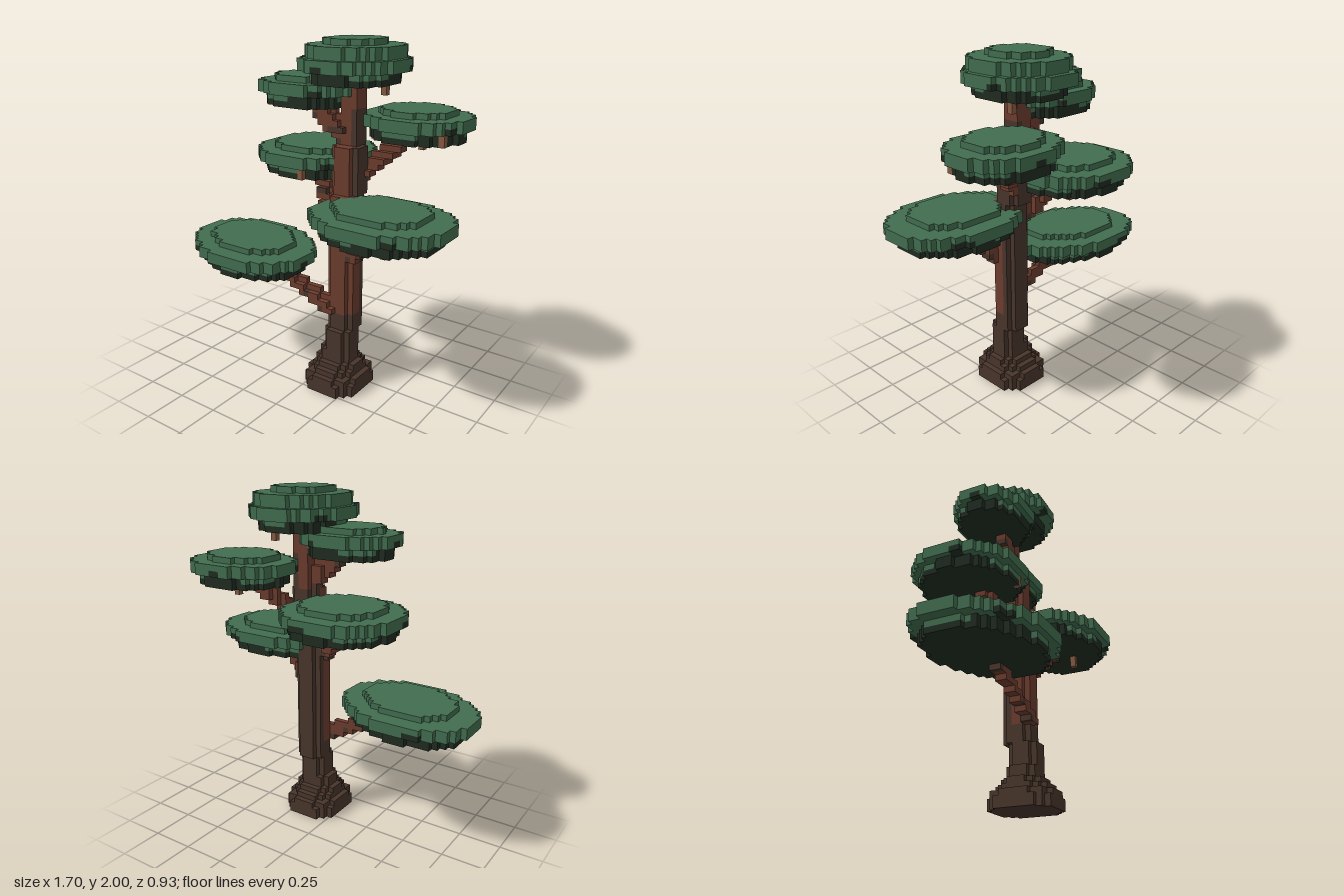
import * as THREE from 'three';

const S = 1 / 30; // cube size
const X0 = -0.85, Z0 = -14 * S; // grid origin

const material = (name, color) => {
  const m = new THREE.MeshStandardMaterial({ color });
  m.name = name;
  return m;
};

// the six faces of a cube: normal and corners, counter-clockwise from outside
const FACES = [
  [[1, 0, 0], [[1, 0, 0], [1, 1, 0], [1, 1, 1], [1, 0, 1]]],
  [[-1, 0, 0], [[0, 0, 1], [0, 1, 1], [0, 1, 0], [0, 0, 0]]],
  [[0, 1, 0], [[0, 1, 0], [0, 1, 1], [1, 1, 1], [1, 1, 0]]],
  [[0, -1, 0], [[0, 0, 0], [1, 0, 0], [1, 0, 1], [0, 0, 1]]],
  [[0, 0, 1], [[0, 0, 1], [1, 0, 1], [1, 1, 1], [0, 1, 1]]],
  [[0, 0, -1], [[1, 0, 0], [0, 0, 0], [0, 1, 0], [1, 1, 0]]],
];

export function createModel() {
  const bark = material('darkBark', 0x48352c);
  const redBark = material('redBark', 0x6c3c2e);
  const podBrown = material('podBrown', 0x845a40);
  const leaf = material('leafGreen', 0x426d50);
  const shade = material('deepGreen', 0x202c21);

  const cells = new Map();
  const key = (i, j, k) => `${i},${j},${k}`;
  const put = (part, mat, i, j, k) => {
    if (!cells.has(key(i, j, k))) cells.set(key(i, j, k), { part, mat, i, j, k });
  };

  // one layer of cubes inside an ellipse; pick(dx, dz) gives the colour
  const disc = (part, j, cx, cz, rx, rz, pick, shear = 0) => {
    for (let i = 0; i < 51; i++) {
      for (let k = 0; k < 28; k++) {
        const dx = X0 + (i + 0.5) * S - cx;
        const dz = Z0 + (k + 0.5) * S - cz;
        if ((dx / rx) ** 2 + ((dz - shear * dx) / rz) ** 2 <= 1) put(part, pick(dx, dz), i, j, k);
      }
    }
  };

  // roots: flared layers at the foot
  [0.182, 0.182, 0.176, 0.145, 0.125, 0.1, 0.1].forEach((r, j) =>
    disc('roots', j, 0.15, 0.083, r, r * (j < 3 ? 1.05 : 1), () => bark));

  // trunk: steps backward and thins toward the top
  for (let j = 0; j < 54; j++) {
    const y = j * S;
    const cz = y < 0.36 ? 0.083 : y < 1.15 ? 0.05 : y < 1.42 ? 0.017 : -0.017;
    const r = y < 1.42 ? 0.088 : y < 1.58 ? 0.06 : 0.05;
    disc('trunk', j, 0.167, cz, r, r, (dx, dz) =>
      (y > 1.42 ? dx < 0.02 || y > 1.6 : y > 0.46 && dz > -0.01 && dx < 0.05 + (y < 1 ? 0.05 : 0)) ? redBark : bark);
  }

  // branches: stepped lines of small cube clusters
  const branch = (name, a, b, width = 2) => {
    const from = new THREE.Vector3(...a), to = new THREE.Vector3(...b);
    for (let s = 0; s <= 40; s++) {
      const p = from.clone().lerp(to, s / 40);
      const i = Math.floor((p.x - X0) / S), j = Math.floor(p.y / S), k = Math.floor((p.z - Z0) / S);
      for (let u = 0; u < width; u++) {
        for (let w = 0; w < 2; w++) put(name, (i * 3 + k + j) % 7 === 0 ? bark : redBark, i + u, j, k + w);
        if (s < 34) put(name, redBark, i + u, j + 1, k);
      }
    }
  };
  branch('lowerRightBranch', [0.1, 0.49, 0.1], [-0.3, 0.66, 0.13]);
  branch('lowerLeftBranch', [0.2, 0.81, 0.07], [0.38, 0.99, 0.15]);
  branch('middleRightBranch', [0.07, 1.02, 0.04], [-0.1, 1.23, -0.08]);
  branch('middleLeftBranch', [0.2, 1.25, -0.03], [0.4, 1.46, -0.19]);
  branch('upperRightBranch', [0.1, 1.46, -0.01], [-0.04, 1.62, 0.02], 3);

  // canopies: flat pads of stacked ellipses, dark underneath with a ragged edge
  const canopy = (name, j0, cx, cz, rx, rz, layers, shear = 0) => {
    layers.forEach((scale, n) => {
      disc(name, j0 + n, cx, cz, rx * scale, rz * scale, (dx, dz) => {
        const wave = Math.sin(3 * Math.atan2(dz / rz, dx / rx) + j0);
        if (n === 0) return shade;
        if (n === 1) return wave > -0.25 ? shade : leaf;
        return n === 2 && wave > 0.93 ? shade : leaf;
      }, shear);
    });
  };
  const pad = [0.85, 0.85, 1, 1, 0.69];
  canopy('lowerRightCanopy', 20, -0.435, 0.15, 0.42, 0.315, pad, 0.13);
  canopy('lowerLeftCanopy', 30, 0.46, 0.167, 0.393, 0.305, pad);
  canopy('middleRightCanopy', 37, -0.15, -0.117, 0.34, 0.322, pad);
  canopy('middleLeftCanopy', 44, 0.452, -0.217, 0.3, 0.253, pad);
  canopy('upperRightCanopy', 49, -0.108, 0.017, 0.283, 0.22, pad);
  canopy('crownCanopy', 53, 0.165, -0.033, 0.287, 0.302, [0.78, 0.78, 1, 1, 0.87, 0.87, 0.54]);

  // hanging pods: two cubes tall
  [
    [0.167, 28, 0.183], [0.533, 28, 0.25], [-0.067, 37, 0.15], [-0.067, 35, -0.183],
    [0.467, 42, -0.25], [0.667, 44, -0.083], [0.3, 51, -0.117],
  ].forEach(([x, j, z]) => {
    const i = Math.floor((x - X0) / S), k = Math.floor((z - Z0) / S);
    for (let n = 0; n < 2; n++) {
      cells.delete(key(i, j + n, k));
      put('hangingPods', podBrown, i, j + n, k);
    }
  });

  // gather the exposed cube faces of each part and colour
  const buckets = new Map();
  for (const { part, mat, i, j, k } of cells.values()) {
    const id = part + mat.name;
    if (!buckets.has(id)) buckets.set(id, { part, mat, pos: [], nor: [], idx: [] });
    const b = buckets.get(id);
    for (const [n, corners] of FACES) {
      if (cells.has(key(i + n[0], j + n[1], k + n[2]))) continue;
      const v = b.pos.length / 3;
      for (const c of corners) {
        b.pos.push(X0 + (i + c[0]) * S, (j + c[1]) * S, Z0 + (k + c[2]) * S);
        b.nor.push(...n);
      }
      b.idx.push(v, v + 1, v + 2, v, v + 2, v + 3);
    }
  }

  const model = new THREE.Group();
  model.name = 'layeredTree';
  const parts = {};
  for (const { part, mat, pos, nor, idx } of buckets.values()) {
    if (!idx.length) continue;
    if (!parts[part]) {
      parts[part] = new THREE.Group();
      parts[part].name = part;
      model.add(parts[part]);
    }
    const geo = new THREE.BufferGeometry();
    geo.setAttribute('position', new THREE.Float32BufferAttribute(pos, 3));
    geo.setAttribute('normal', new THREE.Float32BufferAttribute(nor, 3));
    geo.setIndex(idx);
    const mesh = new THREE.Mesh(geo, mat);
    mesh.name = `${part} ${mat.name}`;
    parts[part].add(mesh);
  }
  return model;
}
